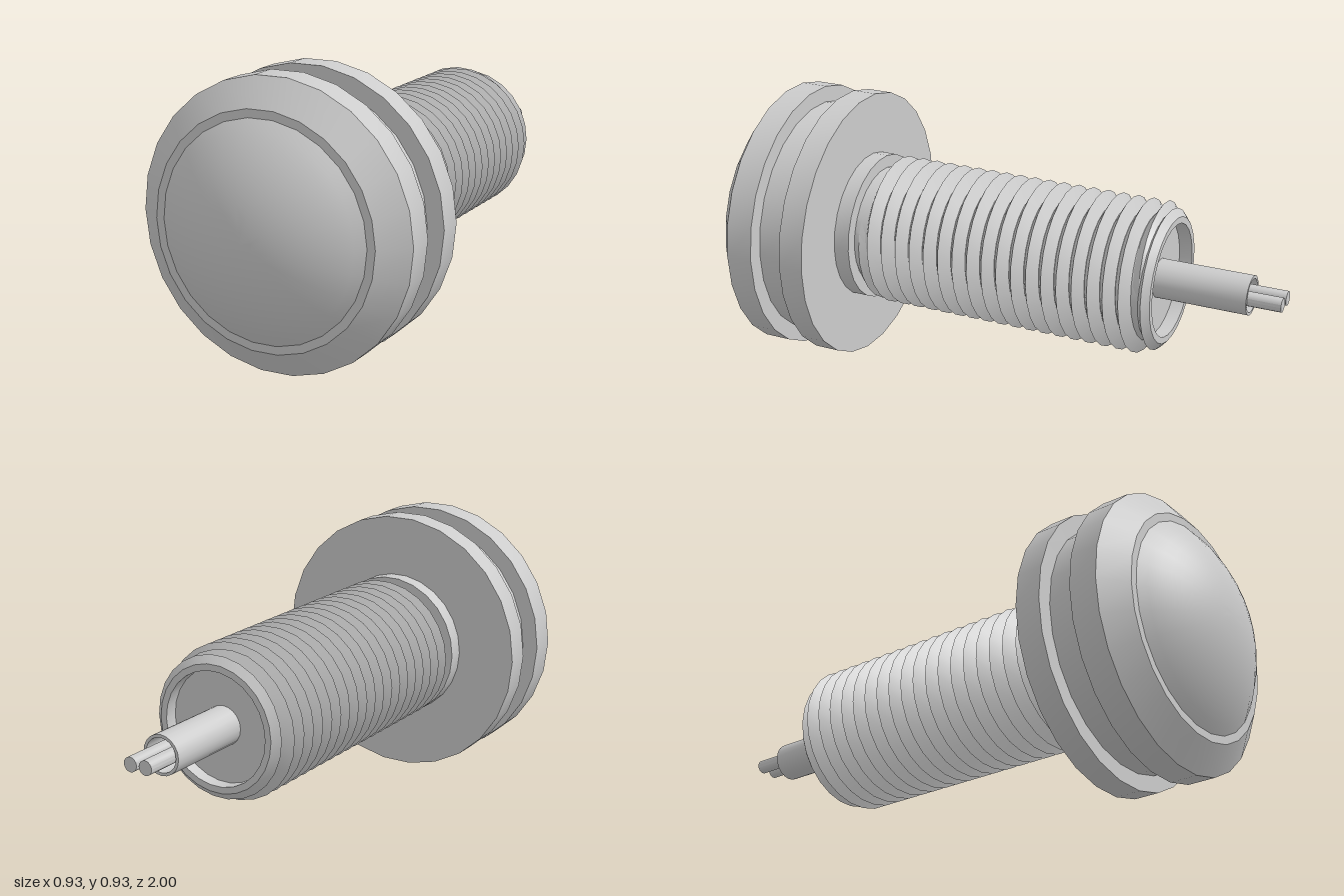
import * as THREE from 'three';
import { toCreasedNormals } from 'three/addons/utils/BufferGeometryUtils.js';

const SIDES = 26;
const AXIS_Y = 0.466;
const grey = new THREE.MeshStandardMaterial({ color: 0xcccccc, side: THREE.DoubleSide });

function addMesh(group, name, geometry, x = 0) {
  const mesh = new THREE.Mesh(toCreasedNormals(geometry, 0.45), grey);
  mesh.name = name;
  mesh.position.x = x;
  group.add(mesh);
}

// Solid of revolution about the z axis; profile is [radius, z] from back to front.
function turned(profile, sides = SIDES) {
  const points = profile.map(([r, z]) => new THREE.Vector2(r, z));
  return new THREE.LatheGeometry(points, sides, Math.PI / 2).rotateX(Math.PI / 2);
}

// Helical V-thread that fades into the core at both ends.
function threadGeometry(zStart, zEnd, pitch, root, crest) {
  const turns = (zEnd - zStart) / pitch - 1;
  const steps = Math.round(turns * SIDES);
  const positions = [];
  const indices = [];
  for (let i = 0; i <= steps; i++) {
    const t = i / SIDES;
    const a = t * Math.PI * 2;
    const fade = Math.min(1, t / 0.3, (steps - i) / SIDES / 0.3);
    const tip = root + (crest - root) * fade;
    [root, tip, root].forEach((r, j) => {
      positions.push(r * Math.cos(a), r * Math.sin(a), zStart + pitch * (t + j / 2));
    });
    if (i === steps) break;
    for (let j = 0; j < 2; j++) {
      const p = i * 3 + j;
      indices.push(p, p + 3, p + 4, p, p + 4, p + 1);
    }
  }
  const geometry = new THREE.BufferGeometry();
  geometry.setAttribute('position', new THREE.Float32BufferAttribute(positions, 3));
  geometry.setIndex(indices);
  geometry.computeVertexNormals();
  return geometry;
}

export function createModel() {
  const model = new THREE.Group();
  model.name = 'threadedIndicator';
  const assembly = new THREE.Group();
  assembly.name = 'assembly';
  assembly.position.y = AXIS_Y;
  model.add(assembly);

  // Grooved head with a bevelled front
  addMesh(assembly, 'head', turned([
    [0, 0.51], [0.466, 0.51], [0.466, 0.597], [0.41, 0.597], [0.41, 0.709],
    [0.466, 0.709], [0.466, 0.803], [0.377, 0.87], [0.35, 0.87],
  ]));

  // Domed lens: a spherical cap
  const capRadius = 0.35, capHeight = 0.13;
  const sphere = (capRadius ** 2 + capHeight ** 2) / (2 * capHeight);
  const sweep = Math.asin(capRadius / sphere);
  const lens = [];
  for (let i = 0; i <= 10; i++) {
    const a = sweep * (1 - i / 10);
    lens.push([i === 10 ? 0 : sphere * Math.sin(a), 1 - sphere + sphere * Math.cos(a)]);
  }
  addMesh(assembly, 'lens', turned(lens));

  // Shank with a recessed back end and a collar under the head
  addMesh(assembly, 'shank', turned([
    [0, -0.575], [0.19, -0.575], [0.19, -0.62], [0.212, -0.62], [0.237, -0.598],
    [0.212, -0.58], [0.212, 0.455], [0.255, 0.455], [0.255, 0.51],
  ]));
  addMesh(assembly, 'thread', threadGeometry(-0.61, 0.465, 0.0535, 0.211, 0.257));

  // Cable sheath, open at the end, with two wires
  addMesh(assembly, 'cableSheath', turned([
    [0, -0.8], [0.056, -0.8], [0.056, -0.89], [0.066, -0.89], [0.066, -0.57],
  ], 20));
  for (const side of [-1, 1]) {
    addMesh(assembly, side > 0 ? 'leftWire' : 'rightWire', turned([
      [0, -1], [0.024, -1], [0.024, -0.79],
    ], 16), side * 0.028);
  }
  return model;
}
